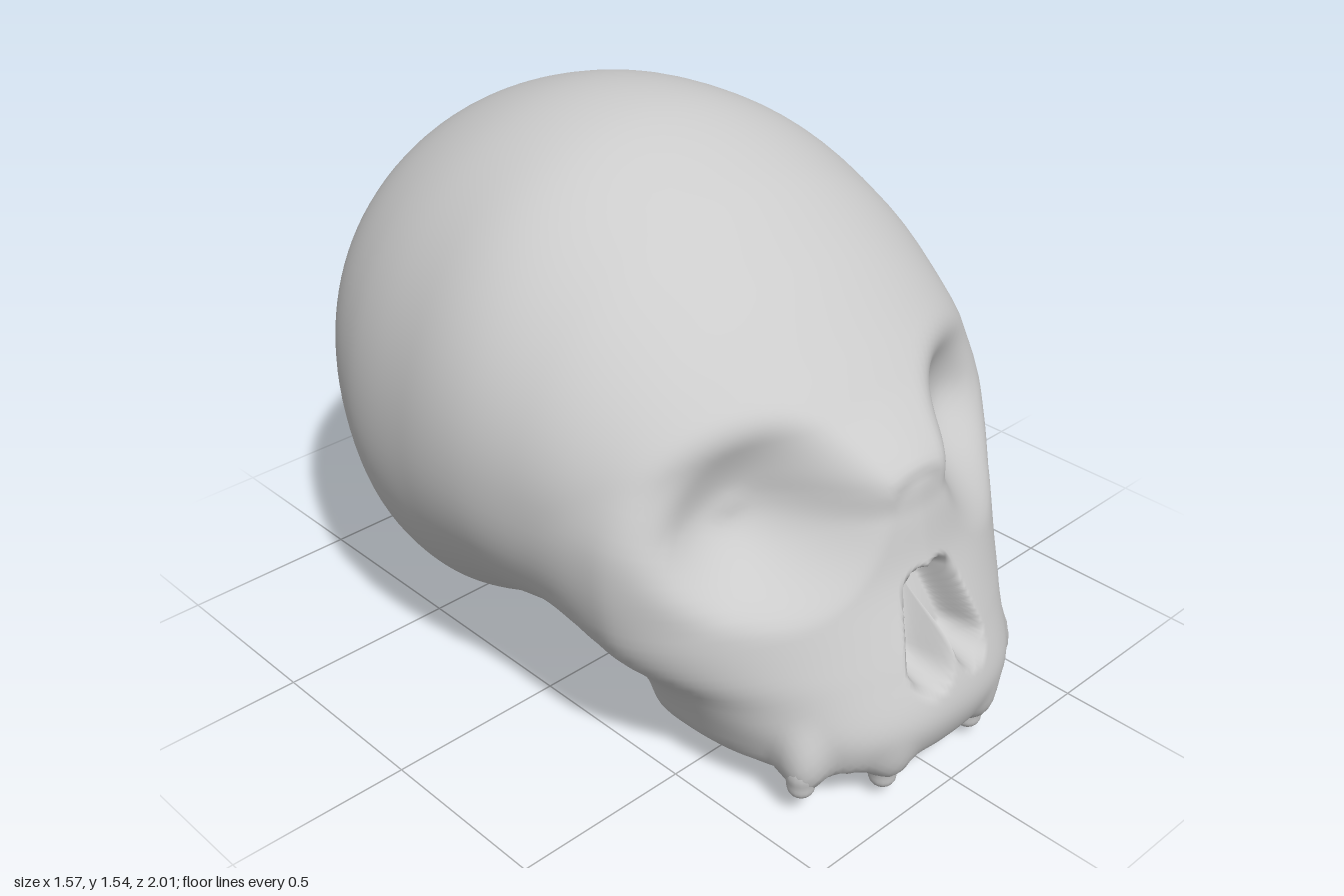
import * as THREE from 'three';
import { mergeVertices } from 'three/addons/utils/BufferGeometryUtils.js';

const { clamp, lerp, smoothstep } = THREE.MathUtils;

// Smooth curve through [key, value] pairs (cubic Hermite)
function profile(points, key = (v) => v) {
  const k = points.map((p) => key(p[0]));
  const v = points.map((p) => p[1]);
  const last = k.length - 1;
  const slope = v.map((_, i) => {
    const a = Math.max(i - 1, 0), b = Math.min(i + 1, last);
    return (v[b] - v[a]) / (k[b] - k[a]);
  });
  return (at) => {
    const q = clamp(key(at), k[0], k[last]);
    let i = 0;
    while (i < last - 1 && q > k[i + 1]) i++;
    const d = k[i + 1] - k[i], t = (q - k[i]) / d, t2 = t * t, t3 = t2 * t;
    return v[i] * (2 * t3 - 3 * t2 + 1) + slope[i] * d * (t3 - 2 * t2 + t)
      + v[i + 1] * (3 * t2 - 2 * t3) + slope[i + 1] * d * (t3 - t2);
  };
}
const round = (z) => Math.acos(clamp(-z, -1, 1));

// Cranium sections along z: top, bottom and half width
const top = profile([[-1, 0.86], [-0.97, 1.07], [-0.81, 1.345], [-0.46, 1.52], [-0.12, 1.54],
  [0.2, 1.42], [0.42, 1.26], [0.6, 1.09], [0.75, 0.93], [0.83, 0.85]], round);
const bottom = profile([[-1, 0.85], [-0.98, 0.65], [-0.9, 0.46], [-0.78, 0.305], [-0.65, 0.175],
  [-0.53, 0.085], [-0.42, 0.04], [-0.27, 0.05], [0, 0.185], [0.2, 0.26], [0.4, 0.32], [0.6, 0.45], [0.83, 0.83]], round);
const width = profile([[-1, 0.01], [-0.98, 0.22], [-0.86, 0.5], [-0.53, 0.72], [-0.2, 0.78], [0, 0.78],
  [0.2, 0.74], [0.35, 0.695], [0.49, 0.63], [0.65, 0.5], [0.75, 0.33], [0.83, 0.03]], round);

// Face sections along y: half width, front depth, depth behind the cheekbone, squareness
const faceWidth = profile([[0.1, 0.42], [0.2, 0.455], [0.3, 0.53], [0.4, 0.625], [0.5, 0.67], [0.7, 0.675], [0.8, 0.64], [0.9, 0.55], [1.1, 0.3]]);
const faceFront = profile([[0.1, 0.95], [0.25, 1], [0.39, 0.975], [0.6, 0.88], [0.75, 0.845], [0.87, 0.815], [1, 0.66], [1.1, 0.5]]);
const faceBack = profile([[0.1, 0.2], [0.3, 0.2], [0.42, 0.45], [0.5, 0.55], [1.1, 0.5]]);
const faceSquare = profile([[0.1, 3], [0.2, 2.6], [0.3, 2], [0.4, 1.65], [0.5, 1.55], [1.1, 1.6]]);

function smoothMin(a, b, k) {
  const h = Math.max(k - Math.abs(a - b), 0) / k;
  return Math.min(a, b) - h * h * k * 0.25;
}
const smoothMax = (a, b, k) => -smoothMin(-a, -b, k);
const ellipsoid = (x, y, z, rx, ry, rz) => (Math.hypot(x / rx, y / ry, z / rz) - 1) * Math.min(rx, ry, rz);

// Cranium, with squarer undersides towards the cheeks
function cranium(x, y, z) {
  if (z < -1 || z > 0.83) return 0.5;
  const hi = top(z), lo = bottom(z), mid = lerp(lo, hi, 0.47);
  const h = Math.max(y > mid ? hi - mid : mid - lo, 0.01);
  const w = Math.max(width(z), 0.01);
  const n = y > mid ? 2 : 2 + 0.6 * smoothstep(z, -0.2, 0.4);
  return ((Math.pow(x / w, n) + Math.pow(Math.abs(y - mid) / h, n)) ** (1 / n) - 1) * Math.min(h, w);
}

function face(x, y, z) {
  const mid = 0.43;
  const n = z > mid ? faceSquare(y) : 2.2;
  const reach = z > mid ? Math.max(faceFront(y) - mid, 0.03) : faceBack(y);
  const r = (Math.pow(x / faceWidth(y), n) + Math.pow(Math.abs(z - mid) / reach, n)) ** (1 / n);
  return Math.max(smoothMax((r - 1) * 0.4, 0.115 - y, 0.05), y - 1.1);
}

// Whole skull before the openings: negative inside, positive outside
function skullField(px, y, z) {
  const x = Math.abs(px);
  let f = smoothMin(cranium(x, y, z), face(x, y, z), 0.06);
  f = smoothMin(f, ellipsoid(x, y - 0.215, z - 0.47, 0.44, 0.205, 0.48), 0.07);
  // Gum swellings above the teeth
  f = smoothMin(f, ellipsoid(x - 0.37, y - 0.16, z - 0.82, 0.045, 0.07, 0.045), 0.05);
  return smoothMin(f, ellipsoid(x - 0.17, y - 0.14, z - 0.915, 0.04, 0.06, 0.045), 0.05);
}

// How far the surface sinks back at the eye sockets and the nostrils
function sink(px, y) {
  const x = Math.abs(px);
  const across = x - 0.36 - 0.15 * (0.79 - y);
  const socket = Math.hypot(across / (across > 0 ? 0.31 : 0.26), (y - 0.79) / 0.25);
  const ax = 0.03, ay = 0.545, bx = 0.045, by = -0.155;
  const t = clamp(((x - ax) * bx + (y - ay) * by) / (bx * bx + by * by), 0, 1);
  const nostril = Math.hypot(x - ax - bx * t, y - ay - by * t);
  return 0.2 * (1 - smoothstep(socket, 0.1, 1.05)) + 0.12 * (1 - smoothstep(nostril, 0.025, 0.07));
}

// Push every vertex of a sphere out to the skull surface, densest at the face
function skullGeometry() {
  let geo = new THREE.SphereGeometry(1, 128, 120).rotateX(Math.PI / 2);
  geo.deleteAttribute('uv');
  geo.deleteAttribute('normal');
  geo = mergeVertices(geo, 1e-5);
  const pos = geo.attributes.position;
  const centre = new THREE.Vector3(0, 0.55, 0.1);
  const dir = new THREE.Vector3(), p = new THREE.Vector3();
  const outside = (r) => {
    p.copy(centre).addScaledVector(dir, r);
    return skullField(p.x, p.y, p.z) > 0;
  };
  for (let i = 0; i < pos.count; i++) {
    dir.fromBufferAttribute(pos, i).normalize();
    const around = Math.atan2(dir.y, dir.x);
    const tilt = Math.PI * Math.pow(Math.acos(clamp(dir.z, -1, 1)) / Math.PI, 1.35);
    dir.set(Math.sin(tilt) * Math.cos(around), Math.sin(tilt) * Math.sin(around), Math.cos(tilt));
    let far = 0.1;
    while (far < 1.6 && !outside(far)) far += 0.02;
    let near = far - 0.02;
    for (let s = 0; s < 12; s++) {
      const m = (near + far) / 2;
      if (outside(m)) far = m; else near = m;
    }
    p.copy(centre).addScaledVector(dir, near);
    const front = smoothstep(p.z, 0.35, 0.55);
    pos.setXYZ(i, p.x, p.y, p.z - front * sink(p.x, p.y));
  }
  geo.computeVertexNormals();
  return geo;
}

export function createModel() {
  const group = new THREE.Group();
  group.name = 'skull';
  const bone = new THREE.MeshStandardMaterial({ color: 0xcccccc });

  const skull = new THREE.Mesh(skullGeometry(), bone);
  skull.name = 'craniumAndFace';
  group.add(skull);

  // Four blunt teeth, flaring into the gum
  const toothShape = [[0, 0], [0.02, 0.004], [0.034, 0.02], [0.038, 0.045], [0.043, 0.075], [0.035, 0.11], [0, 0.13]]
    .map(([r, y]) => new THREE.Vector2(r, y));
  const toothGeo = new THREE.LatheGeometry(new THREE.SplineCurve(toothShape).getPoints(20), 16);
  for (const side of [-1, 1]) {
    for (const [name, x, y, z] of [['frontTooth', 0.17, 0.04, 0.91], ['sideTooth', 0.375, 0.07, 0.82]]) {
      const tooth = new THREE.Mesh(toothGeo, bone);
      tooth.name = (side > 0 ? 'left ' : 'right ') + name;
      tooth.position.set(side * x, y, z);
      group.add(tooth);
    }
  }
  return group;
}
